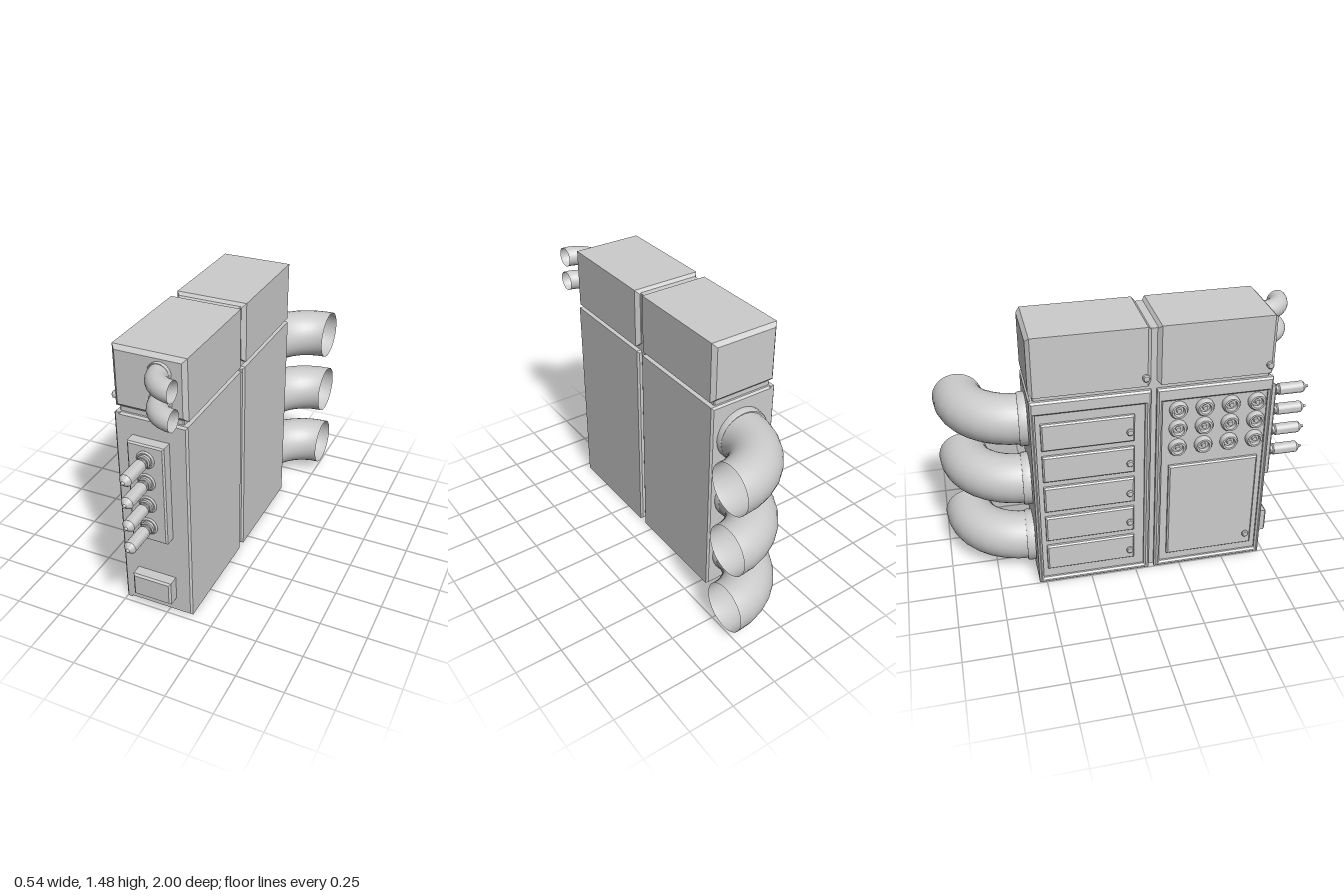
import * as THREE from 'three';
import { toCreasedNormals } from 'three/addons/utils/BufferGeometryUtils.js';

const grey = new THREE.MeshStandardMaterial({ color: 0xcccccc });
const greyOpen = new THREE.MeshStandardMaterial({ color: 0xcccccc, side: THREE.DoubleSide });

// Chamfered slab on the rectangle (u0,v0)-(u1,v1), extruded along z, with an optional window
function slab(u0, v0, u1, v1, depth, chamfer, hole) {
  const rect = (a, b, c, d, P) => new P([[a, b], [c, b], [c, d], [a, d]].map((p) => new THREE.Vector2(...p)));
  const shape = rect(u0, v0, u1, v1, THREE.Shape);
  if (hole) shape.holes.push(rect(...hole, THREE.Path));
  const geo = new THREE.ExtrudeGeometry(shape, {
    depth: depth - 2 * chamfer, bevelEnabled: true, bevelSegments: 1,
    bevelSize: chamfer, bevelThickness: chamfer, bevelOffset: -chamfer,
  });
  return geo.translate(0, 0, chamfer);
}

function lathe(profile, segments) {
  const geo = new THREE.LatheGeometry(profile.map((p) => new THREE.Vector2(...p)), segments);
  return toCreasedNormals(geo, 0.6);
}

export function createModel() {
  const model = new THREE.Group();
  const add = (name, geo, x = 0, y = 0, z = 0, mat = grey) => {
    const mesh = new THREE.Mesh(geo, mat);
    mesh.name = name;
    mesh.position.set(x, y, z);
    model.add(mesh);
    return mesh;
  };
  // Chamfered box by its limits
  const box = (name, x0, x1, y0, y1, z0, z1, c) => add(name, slab(x0, y0, x1, y1, z1 - z0, c), 0, 0, z0);
  // Slab standing on the panel side, starting at x and growing towards -x
  const sidePanel = (name, x, z0, z1, y0, y1, depth, c, hole) =>
    add(name, slab(z0, y0, z1, y1, depth, c, hole).rotateY(-Math.PI / 2), x);

  // Inner core seen in the gaps between the cabinets
  box('core', -0.23, 0.105, 0.01, 1.465, -0.52, 0.7, 0.005);

  // Two cabinets, each with a top unit and a framed recess on the panel side
  const bays = [
    { z0: -0.54, z1: 0.075, hole: [-0.515, 0.03, 0.045, 1.06], knobZ: 0.045 },
    { z0: 0.105, z1: 0.72, hole: [0.135, 0.03, 0.695, 1.06], knobZ: 0.69 },
  ];
  for (const b of bays) {
    box('cabinet', -0.235, 0.13, 0, 1.135, b.z0, b.z1, 0.01);
    sidePanel('cabinetFrame', -0.215, b.z0, b.z1, 0, 1.135, 0.04, 0.01, b.hole);
    box('topUnit', -0.25, 0.13, 1.16, 1.48, b.z0, b.z1, 0.02);
  }

  // Small round latches
  const latchGeo = lathe([[0, 0], [0.019, 0], [0.019, 0.023], [0.014, 0.028], [0, 0.028]], 16).rotateZ(Math.PI / 2);
  const latch = (y, z) => add('latch', latchGeo, -0.24, y, z);
  for (const b of bays) latch(1.21, b.knobZ);

  // Five drawer fronts in the rear cabinet
  for (let i = 0; i < 5; i++) {
    const y = 0.09 + 0.19 * i;
    sidePanel('drawer', -0.225, -0.49, -0.01, y, y + 0.155, 0.03, 0.008);
    latch(y + 0.06, -0.035);
  }

  // Door and dial grid in the front cabinet
  sidePanel('door', -0.225, 0.175, 0.665, 0.08, 0.665, 0.03, 0.008);
  latch(0.15, 0.63);
  const dialGeo = lathe([
    [0.048, 0], [0.048, 0.018], [0.04, 0.032], [0.03, 0.032], [0.026, 0.012],
    [0.014, 0.012], [0.012, 0.024], [0, 0.024],
  ], 20).rotateZ(Math.PI / 2);
  for (const y of [1.0, 0.89, 0.775])
    for (const z of [0.22, 0.36, 0.5, 0.64]) add('dial', dialGeo, -0.234, y, z);

  // Front plate with a sunken face and four pointed plugs
  add('plugPlate', slab(-0.16, 0.475, 0.035, 1.03, 0.07, 0.008, [-0.145, 0.492, 0.02, 1.013]), 0, 0, 0.71);
  box('plugPlateFace', -0.155, 0.03, 0.48, 1.025, 0.715, 0.768, 0.004);
  const plugGeo = lathe([
    [0.048, 0], [0.048, 0.016], [0.04, 0.022], [0.034, 0.022], [0.034, 0.034], [0.024, 0.036],
    [0.024, 0.044], [0.03, 0.046], [0.03, 0.052], [0.024, 0.054], [0.024, 0.06], [0.032, 0.066],
    [0.032, 0.2], [0.026, 0.208], [0.009, 0.222], [0.006, 0.235], [0, 0.235],
  ], 24).rotateX(Math.PI / 2);
  for (const y of [0.95, 0.825, 0.695, 0.565]) add('plug', plugGeo, -0.062, y, 0.765);

  // Small box low on the front
  box('frontBox', -0.172, 0.042, 0.09, 0.225, 0.71, 0.785, 0.01);

  // Open elbow pipes bending to +x
  const elbow = (R, r, steps) => new THREE.TorusGeometry(R, r, 32, steps, Math.PI / 2).rotateX(Math.PI / 2);
  const collar = (r, h) => lathe([[r, 0], [r, h * 0.8], [r * 0.97, h], [r * 0.9, h]], 32).rotateX(Math.PI / 2);

  const largeElbow = elbow(0.31, 0.133, 8).rotateY(Math.PI);
  const largeCollar = collar(0.142, 0.045).rotateY(Math.PI);
  for (const y of [0.185, 0.565, 0.935]) {
    add('exhaustPipe', largeElbow, 0.27, y, -0.558, greyOpen);
    add('exhaustCollar', largeCollar, -0.045, y, -0.535, greyOpen).rotation.y = -0.06;
  }

  const smallElbow = elbow(0.13, 0.053, 8).rotateZ(Math.PI);
  const smallCollar = collar(0.058, 0.022);
  for (const y of [1.39, 1.245]) {
    add('frontPipe', smallElbow, 0.13, y, 0.718, greyOpen);
    add('frontPipeCollar', smallCollar, 0, y, 0.715, greyOpen);
  }
  return model;
}
